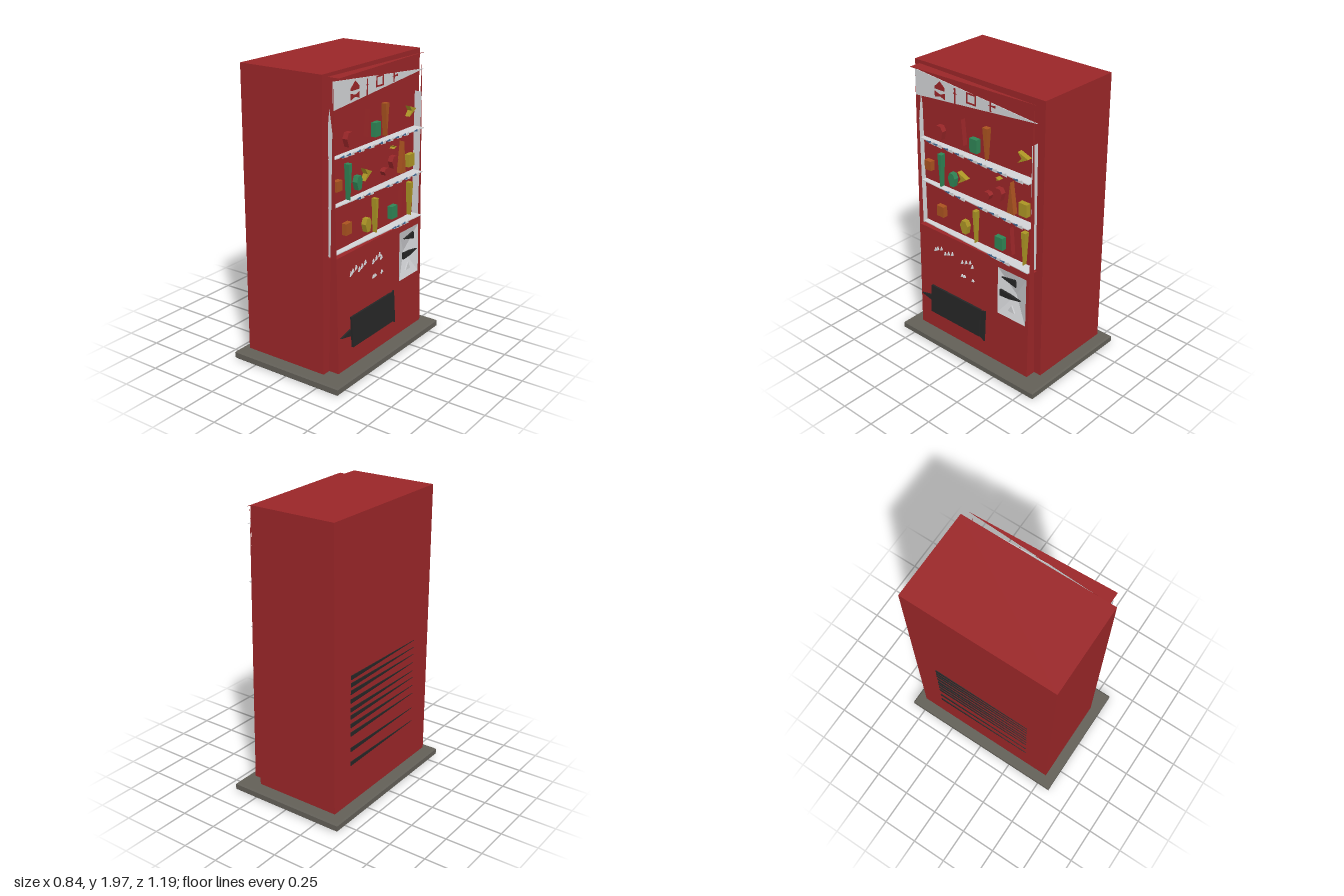
import * as THREE from 'three';

const mat = (name, color, double = true) => {
  const m = new THREE.MeshStandardMaterial({ color, side: double ? THREE.DoubleSide : THREE.FrontSide });
  m.name = name;
  return m;
};

export function createModel() {
  const red = mat('red paint', 0x9a2628);
  const grey = mat('base grey', 0x625f57);
  const white = mat('white', 0xd2d3d6);
  const black = mat('black', 0x262626);
  const green = mat('green', 0x2f8455);
  const yellow = mat('yellow', 0xab9424);
  const orange = mat('orange', 0xa9521f);
  const blue = mat('blue', 0x41658f);
  const root = new THREE.Group();

  const add = (name, geo, material, parent = root) => {
    const m = new THREE.Mesh(geo, material);
    m.name = name;
    parent.add(m);
    return m;
  };
  const box = (name, material, x0, x1, y0, y1, z0, z1, parent) => {
    const m = add(name, new THREE.BoxGeometry(x1 - x0, y1 - y0, z1 - z0), material, parent);
    m.position.set((x0 + x1) / 2, (y0 + y1) / 2, (z0 + z1) / 2);
    return m;
  };
  const group = (name) => {
    const g = new THREE.Group();
    g.name = name;
    root.add(g);
    return g;
  };
  const outline = (pts, Type = THREE.Shape) => new Type(pts.map(([a, b]) => new THREE.Vector2(a, b)));
  // Plate facing +x, outlined by [z, y] points, from x to x + depth
  const plate = (name, material, pts, x, depth, parent, holes = []) => {
    const s = outline(pts.map(([z, y]) => [-z, y]));
    s.holes = holes.map((h) => outline(h.map(([z, y]) => [-z, y]), THREE.Path));
    const geo = new THREE.ExtrudeGeometry(s, { depth, bevelEnabled: false });
    geo.rotateY(Math.PI / 2).translate(x, 0, 0);
    return add(name, geo, material, parent);
  };
  const rect = (z0, z1, y0, y1) => [[z0, y0], [z1, y0], [z1, y1], [z0, y1]];
  // Horizontal sheet outlined by [x, z] points
  const sheet = (name, material, pts, y, depth, parent) => {
    const geo = new THREE.ExtrudeGeometry(outline(pts.map(([x, z]) => [x, -z])), { depth, bevelEnabled: false });
    geo.rotateX(-Math.PI / 2).translate(0, y, 0);
    return add(name, geo, material, parent);
  };

  // Base slab with a small bevel
  const slab = new THREE.ExtrudeGeometry(outline([[-0.41, -0.585], [0.41, -0.585], [0.41, 0.585], [-0.41, 0.585]]),
    { depth: 0.036, bevelSize: 0.009, bevelThickness: 0.009, bevelSegments: 1 });
  slab.rotateX(-Math.PI / 2).translate(0, 0.009, 0);
  add('base', slab, grey);

  // Feet and cabinet
  for (const x of [-0.28, 0.2]) for (const z of [-0.42, 0.42]) {
    const foot = add('foot', new THREE.CylinderGeometry(0.03, 0.015, 0.022, 8), black);
    foot.position.set(x, 0.063, z);
  }
  box('cabinet', red, -0.35, 0.26, 0.07, 1.972, -0.525, 0.525);

  // Tapering slots on the back
  const vents = group('vents');
  for (const y of [0.96, 0.91, 0.86, 0.8, 0.74, 0.69, 0.63, 0.57, 0.46, 0.36])
    plate('vent', black, [[-0.36, y - 0.014], [0.35, y], [-0.36, y + 0.014]], -0.356, 0.005, vents);

  // Door frame: tapering side cheeks and top
  const door = group('door');
  for (const z of [-0.48, 0.48]) {
    const cheek = new THREE.ShapeGeometry(outline([[0.268, 0.08], [0.343, 0.08], [0.305, 1.94]]));
    add('doorCheek', cheek.translate(0, 0, z), red, door);
  }
  const liner = new THREE.ShapeGeometry(outline([[0.263, 0.85], [0.3, 0.85], [0.297, 1.6], [0.272, 1.77], [0.263, 1.68]]));
  add('sideLiner', liner.translate(0, 0, 0.472), white, door);
  sheet('doorTop', red, [[0.305, -0.5], [0.265, 0.48], [0.345, 0.48]], 1.95, 0.003, door);
  box('frameEdge', white, 0.262, 0.31, 0.86, 1.7, -0.476, -0.472, door);

  // Lower door panel with an opening for the coin recess, leaning back slightly
  const panelX = (y) => 0.342 - 0.022 * (y - 0.08);
  const hole = rect(-0.455, -0.22, 0.46, 0.8);
  const panel = plate('lowerPanel', red, rect(-0.48, 0.48, 0.08, 0.85), 0, 0.004, door, [hole]);
  const p = panel.geometry.attributes.position;
  for (let i = 0; i < p.count; i++) p.setX(i, p.getX(i) + panelX(p.getY(i)) - 0.004);
  panel.geometry.computeVertexNormals();
  sheet('panelLedge', red, [[0.26, -0.48], [0.325, -0.48], [0.325, 0.48], [0.26, 0.48]], 0.842, 0.004, door);

  // Coin recess: shallow inverted pyramid
  const coin = group('coinPanel');
  const verts = [];
  hole.forEach(([z, y], i) => {
    const [z2, y2] = hole[(i + 1) % 4];
    verts.push(panelX(y), y, z, panelX(y2), y2, z2, 0.285, 0.63, -0.34);
  });
  const recess = new THREE.BufferGeometry();
  recess.setAttribute('position', new THREE.Float32BufferAttribute(verts, 3));
  recess.computeVertexNormals();
  add('coinRecess', recess, white, coin);
  plate('coinSlot', black, [[-0.26, 0.75], [-0.38, 0.72], [-0.375, 0.77]], 0.33, 0.012, coin);
  plate('billSlot', black, [[-0.25, 0.61], [-0.25, 0.655], [-0.33, 0.65], [-0.42, 0.635], [-0.33, 0.615]], 0.332, 0.014, coin);
  plate('coinReturn', white, [[-0.305, 0.51], [-0.36, 0.51], [-0.335, 0.56]], 0.32, 0.01, coin);

  // Delivery flap, tilted outward at the foot
  const tray = group('deliveryFlap');
  plate('flap', black, rect(-0.09, 0.36, 0.225, 0.43), 0, 0.014, tray);
  plate('flapEnd', black, [[-0.085, 0.225], [-0.13, 0.205], [-0.13, 0.435], [-0.085, 0.42]], 0, 0.008, tray);
  plate('flapHinge', black, [[0.36, 0.3], [0.36, 0.345], [0.465, 0.322]], -0.01, 0.012, tray);
  tray.rotation.z = 0.06;
  tray.position.x = 0.37;

  // Small selector pieces
  const selectors = group('selectors');
  [0.345, 0.325, 0.29, 0.255, 0.225, 0.19, 0.1, 0.065, 0.03, 0.01].forEach((z, i) => {
    const y = 0.72 + 0.012 * ((i % 3) - 1);
    plate('selector', white, [[z, y - 0.015], [z - 0.022, y - 0.005], [z - 0.012, y + 0.018]], panelX(y), 0.008, selectors);
  });
  for (const z of [0.1, 0.08, 0.005])
    plate('selector', white, [[z, 0.595], [z - 0.025, 0.605], [z - 0.01, 0.62]], panelX(0.6), 0.008, selectors);

  // Tapering header panel with abstract red marks
  const header = group('header');
  plate('headerPanel', white, [[0.48, 1.76], [0.48, 1.93], [-0.51, 1.845]], 0.302, 0.004, header);
  const marks = [
    [[0.31, 1.86], [0.265, 1.9], [0.225, 1.865], [0.225, 1.845], [0.31, 1.845]],
    [[0.31, 1.79], [0.31, 1.83], [0.265, 1.815], [0.225, 1.83], [0.225, 1.79], [0.265, 1.805]],
    [[0.145, 1.79], [0.145, 1.89], [0.135, 1.89], [0.135, 1.79]],
    [[0.15, 1.85], [0.12, 1.855], [0.15, 1.86]],
    rect(-0.155, -0.145, 1.82, 1.88),
    [[-0.13, 1.855], [-0.19, 1.865], [-0.19, 1.85]],
  ];
  for (const m of marks) plate('headerMark', red, m, 0.306, 0.003, header);
  plate('headerFrame', red, rect(-0.035, 0.045, 1.82, 1.89), 0.306, 0.003, header, [rect(-0.025, 0.035, 1.83, 1.88)]);

  // Shelves, deeper toward one end, with price tags
  const shelves = group('shelves');
  const tags = { 1.465: [0.36, 0.3, 0.2, 0.1, -0.02, -0.1, -0.19, -0.27, -0.4], 1.165: [0.2, 0.1, -0.1, -0.2, -0.3, -0.4],
    0.86: [-0.18, -0.22, -0.29] };
  for (const [key, zs] of Object.entries(tags)) {
    const y = Number(key);
    sheet('shelf', white, [[0.26, -0.472], [0.338, -0.472], [0.295, 0.472], [0.26, 0.472]], y - 0.004, 0.006, shelves);
    for (const z of zs) {
      const x = 0.317 - z * 0.045;
      plate('tag', white, [[z + 0.025, y - 0.008], [z - 0.03, y - 0.012], [z - 0.025, y + 0.012]], x, 0.005, shelves);
      plate('tagStripe', blue, [[z + 0.05, y], [z + 0.01, y - 0.007], [z + 0.01, y + 0.007]], x, 0.006, shelves);
    }
  }

  // Products: blocks, upright spikes and angular pieces as [colour, shape, z, y, width, height]
  const products = group('products');
  const shapes = {
    block: (w, h) => [[w, -h], [-w, -h], [-w, h], [w, h]],
    spikeUp: (w, h) => [[w, -h], [-w, -h], [0, h]],
    spikeDown: (w, h) => [[w, h], [0, -h], [-w, h]],
    dart: (w, h) => [[w, h], [w * 0.3, 0], [w, -h], [-w, 0.2 * h]],
    chip: (w, h) => [[w, 0.2 * h], [0.4 * w, -h], [-0.6 * w, -h], [-w, 0.3 * h], [-0.5 * w, h], [0.5 * w, h]],
  };
  [
    [red, 'chip', 0.3, 1.55, 0.07, 0.09], [green, 'block', 0.005, 1.55, 0.06, 0.09],
    [red, 'spikeUp', 0.1, 1.61, 0.03, 0.17], [orange, 'spikeDown', -0.095, 1.59, 0.04, 0.21],
    [yellow, 'dart', -0.395, 1.59, 0.08, 0.07], [orange, 'block', 0.41, 1.29, 0.055, 0.065],
    [green, 'spikeDown', 0.3, 1.285, 0.035, 0.23], [green, 'chip', 0.2, 1.255, 0.06, 0.09],
    [yellow, 'dart', 0.105, 1.29, 0.075, 0.08], [red, 'chip', -0.1, 1.25, 0.06, 0.045],
    [red, 'chip', -0.195, 1.29, 0.07, 0.08], [orange, 'spikeUp', -0.297, 1.3, 0.055, 0.21],
    [yellow, 'block', -0.395, 1.255, 0.065, 0.085], [orange, 'block', 0.31, 0.99, 0.06, 0.075],
    [yellow, 'chip', 0.1, 0.95, 0.065, 0.09], [yellow, 'spikeDown', 0.005, 0.985, 0.03, 0.23],
    [green, 'block', -0.2, 0.95, 0.065, 0.085], [red, 'spikeUp', -0.295, 1.0, 0.03, 0.19],
    [yellow, 'spikeDown', -0.402, 0.985, 0.035, 0.23], [yellow, 'dart', -0.195, 1.39, 0.03, 0.02],
  ].forEach(([m, kind, z, y, w, h]) => {
    const pts = shapes[kind](w / 2, h / 2).map(([a, b]) => [z + a, y + b]);
    plate('product', m, pts, 0.265, 0.035, products);
  });

  return root;
}
